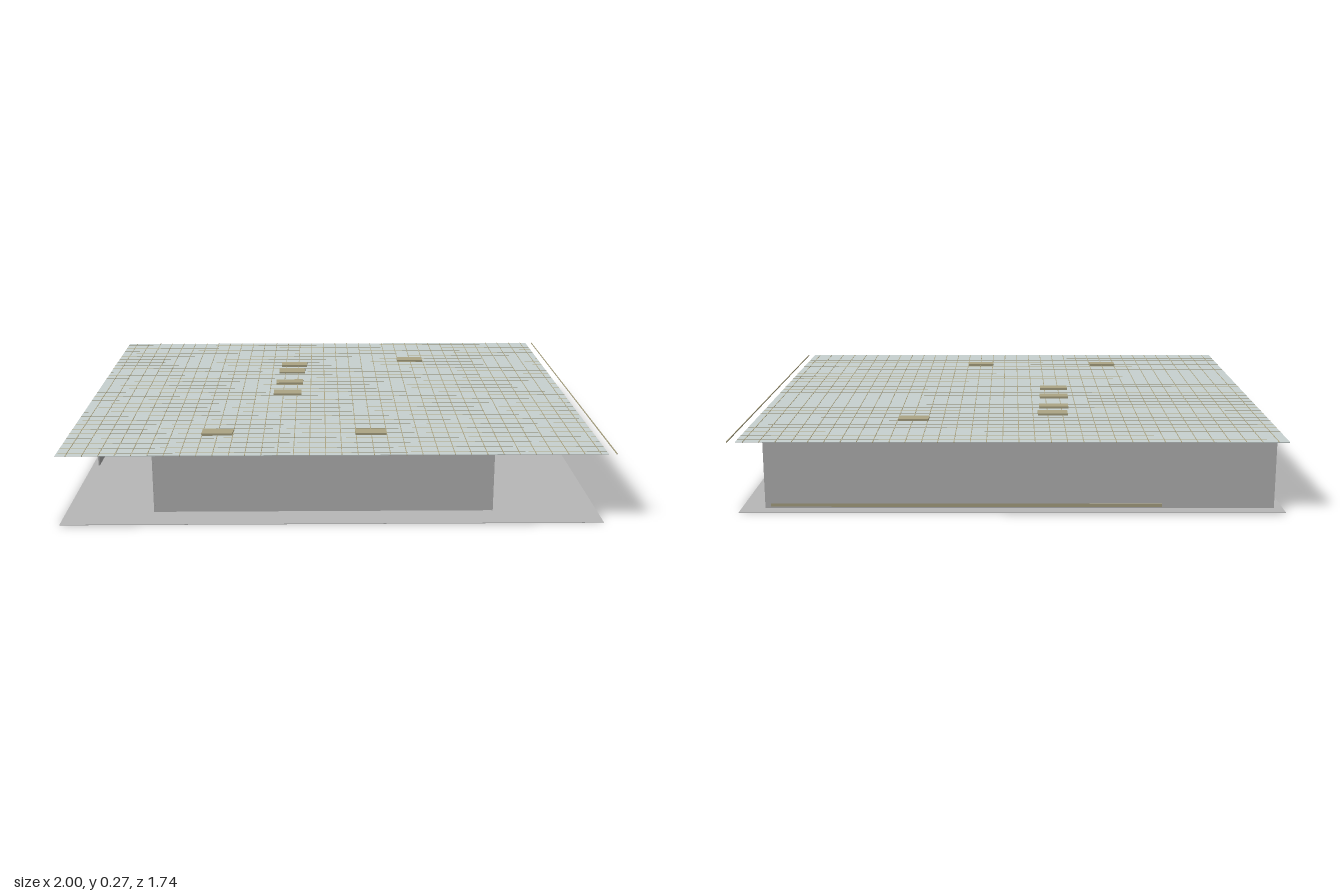
import * as THREE from 'three';

const mat = (name, color) => new THREE.MeshStandardMaterial({ name, color });

export function createModel() {
  const model = new THREE.Group();
  model.name = 'roomWithSuspendedCeiling';
  const grey = mat('plainGrey', 0xb8b8b8);
  const tile = mat('paleTile', 0xc8d2d1);
  const khaki = mat('khaki', 0xada685);

  const H = 0.262;                     // ceiling height
  const X0 = -1, X1 = 0.966, Z = 0.868; // slab limits
  const PITCH = 0.0576, BAR = 0.0028;

  const box = (name, material, w, h, d, x, y, z, parent = model) => {
    const m = new THREE.Mesh(new THREE.BoxGeometry(w, h, d), material);
    m.name = name;
    m.position.set(x, y, z);
    parent.add(m);
    return m;
  };

  // Thin floor and ceiling slabs
  const midX = (X0 + X1) / 2, width = X1 - X0;
  box('floor', grey, width, 0.002, 2 * Z, midX, 0.001, 0);
  box('ceilingTiles', tile, width, 0.002, 2 * Z, midX, H, 0);

  // Walls, each a thin slab between two plan points
  const wall = (name, ax, az, bx, bz) => {
    const len = Math.hypot(bx - ax, bz - az);
    const m = box(name, grey, len, H - 0.003, 0.005, (ax + bx) / 2, H / 2, (az + bz) / 2);
    m.rotation.y = -Math.atan2(bz - az, bx - ax);
  };
  wall('backWall', -0.966, -0.813, 0.88, -0.813);
  wall('leftSideWall', 0.878, -0.815, 0.866, 0);
  wall('rightSideWall', -0.965, -0.815, -0.973, 0.22);
  wall('frontWall', -0.675, 0.742, 0.58, 0.742);
  wall('leftFrontReturn', 0.578, 0.745, 0.578, 0.22);
  wall('rightFrontReturn', -0.673, 0.745, -0.673, 0.22);

  // Low strip along the foot of the back wall, showing on both faces
  box('wallBaseStrip', khaki, 1.42, 0.012, 0.009, 0.15, 0.013, -0.813);
  box('wallBaseStripUpper', khaki, 1.38, 0.012, 0.003, 0.14, 0.024, -0.809);

  // Ceiling grid bars, showing above and below the tiles
  const grid = new THREE.Group();
  grid.name = 'ceilingGrid';
  model.add(grid);
  for (let i = 0; i < 35; i++) {
    box('lengthwiseBar', khaki, BAR, 0.004, 2 * Z, -0.962 + i * PITCH, H, 0, grid);
  }
  for (let i = 0; i < 30; i++) {
    box('crosswiseBar', khaki, width, 0.0038, BAR, midX, H, 0.84 - i * PITCH, grid);
  }

  // Light fittings set into the grid
  const lights = [
    [0.36, -0.52], [-0.175, -0.427], [-0.183, -0.305], [-0.19, -0.118],
    [-0.195, 0.053], [-0.445, 0.609], [0.13, 0.609],
  ];
  for (const [x, z] of lights) {
    box('ceilingLight', khaki, 0.116, 0.012, 0.058, x, H + 0.003, z);
  }
  return model;
}
